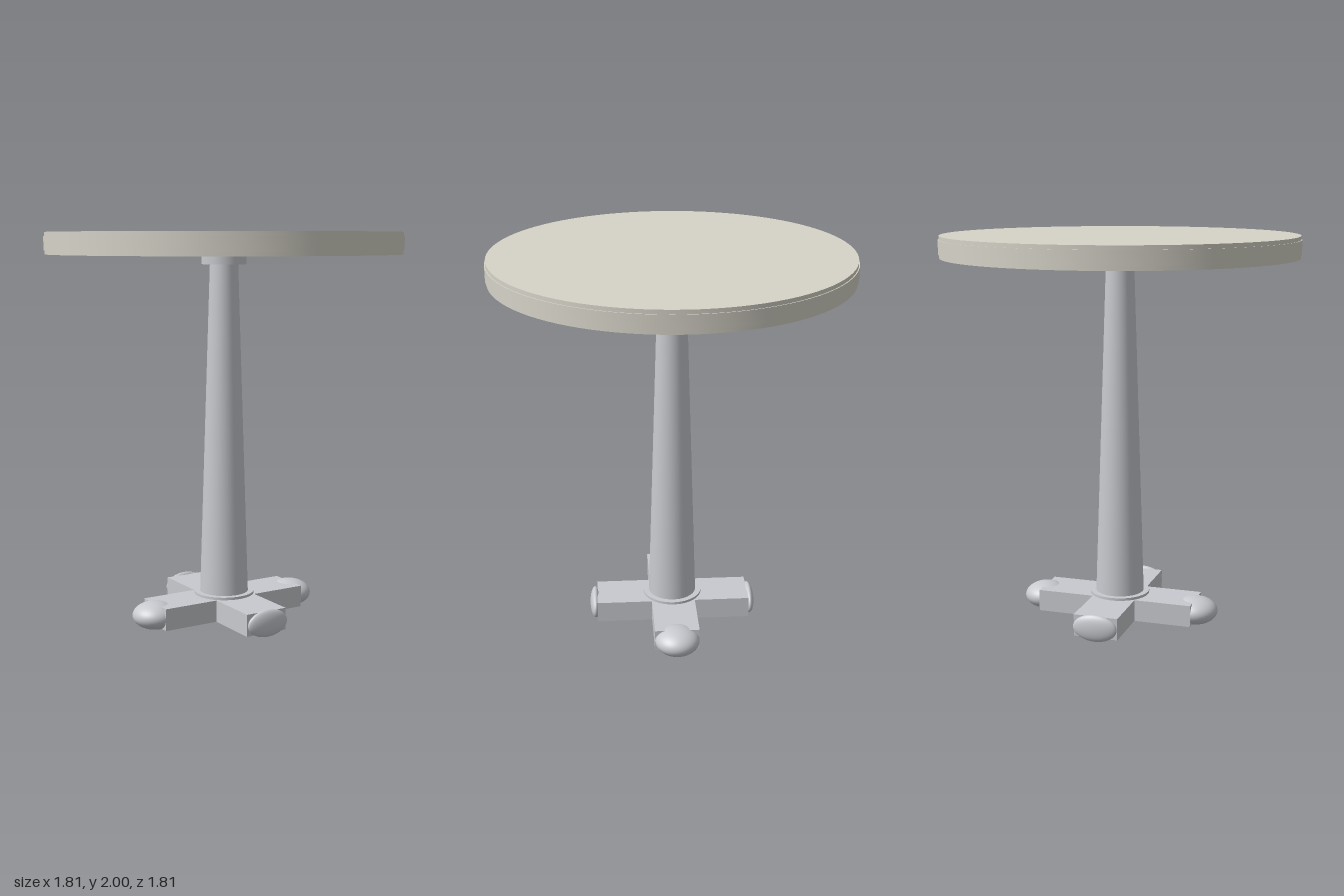
import * as THREE from 'three';
import { toCreasedNormals } from 'three/addons/utils/BufferGeometryUtils.js';

const topMaterial = new THREE.MeshStandardMaterial({ color: 0xd6d3c8 });
const metal = new THREE.MeshStandardMaterial({ color: 0xc8cacf });

function add(group, name, geometry, material, x = 0, y = 0, z = 0) {
  const mesh = new THREE.Mesh(geometry, material);
  mesh.name = name;
  mesh.position.set(x, y, z);
  group.add(mesh);
  return mesh;
}

export function createModel() {
  const table = new THREE.Group();
  table.name = 'pedestalTable';

  // Round top with a slightly raised edge band
  const profile = [[0, 1.89], [0.898, 1.89], [0.898, 1.91], [0.903, 1.91], [0.903, 1.98], [0.898, 1.98], [0.898, 2], [0, 2]]
    .map(([r, y]) => new THREE.Vector2(r, y));
  add(table, 'tableTop', toCreasedNormals(new THREE.LatheGeometry(profile, 96), 0.6), topMaterial);

  // Tapered column, collar under the top and flange above the base
  add(table, 'collar', new THREE.CylinderGeometry(0.115, 0.115, 0.05, 48), metal, 0, 1.865);
  add(table, 'column', new THREE.CylinderGeometry(0.072, 0.126, 1.72, 48), metal, 0, 0.98);
  add(table, 'flange', new THREE.CylinderGeometry(0.155, 0.155, 0.015, 48), metal, 0, 0.134);

  // Crossed base as one outline, so the two beams share flat faces
  const w = 0.115, lx = 0.413, lz = 0.405;
  const cross = new THREE.Shape([
    [lx, -w], [lx, w], [w, w], [w, lz], [-w, lz], [-w, w],
    [-lx, w], [-lx, -w], [-w, -w], [-w, -lz], [w, -lz], [w, -w],
  ].map(([x, z]) => new THREE.Vector2(x, z)));
  const base = new THREE.ExtrudeGeometry(cross, { depth: 0.113, bevelEnabled: false });
  add(table, 'crossBase', base.rotateX(-Math.PI / 2), metal, 0, 0.015);

  // Full rounded feet on the side arms, flattened ones on the front and back arms
  for (const s of [-1, 1]) {
    const side = add(table, s > 0 ? 'leftFoot' : 'rightFoot', new THREE.SphereGeometry(1, 40, 24), metal, s * 0.413, 0.07, 0);
    side.scale.set(0.115, 0.07, 0.115);
    const end = add(table, s > 0 ? 'frontFoot' : 'backFoot', new THREE.SphereGeometry(1, 40, 24), metal, 0, 0.07, s * 0.416);
    end.scale.set(0.115, 0.07, 0.028);
  }
  return table;
}
